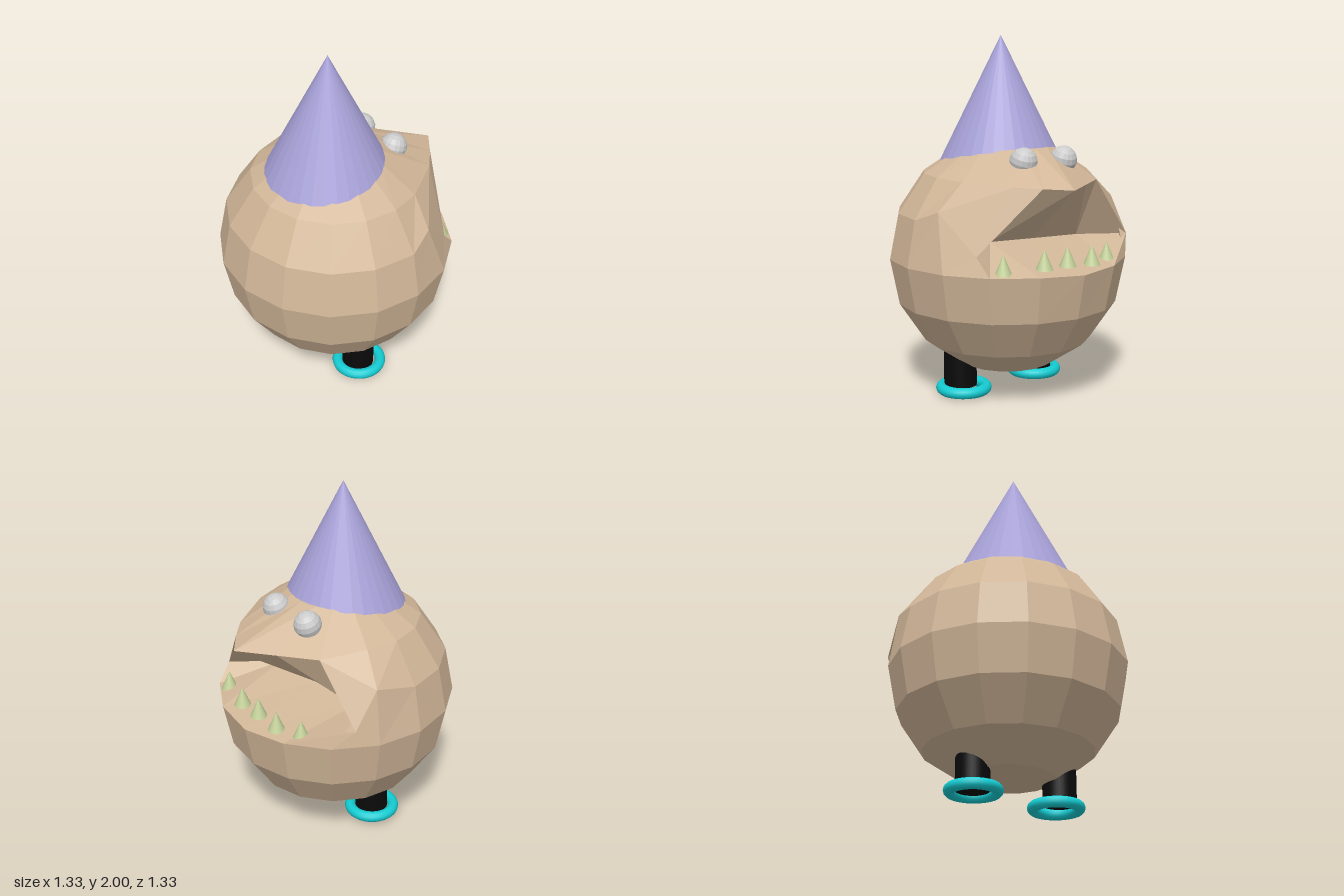
import * as THREE from 'three';

const mat = (color, flatShading = true) => new THREE.MeshStandardMaterial({ color, flatShading });

function add(parent, name, geometry, material, x, y, z) {
  const mesh = new THREE.Mesh(geometry, material);
  mesh.name = name;
  mesh.position.set(x, y, z);
  parent.add(mesh);
  return mesh;
}

// Faceted ball whose vertices on the +x side are pulled into an open mouth
function bodyGeometry() {
  const R = 0.665, CY = 0.78, SIDES = 16, ROWS = 8;
  // Keyed by step around the ball: 0 is straight ahead (+x), positive goes to +z
  const upperLip = {
    '-2': [0.40, 1.22, -0.31], '-1': [0.53, 1.22, -0.12], 0: [0.66, 1.22, 0.07],
    1: [0.55, 1.225, 0.19], 2: [0.44, 1.23, 0.29], 3: [0.18, 1.24, 0.434],
  };
  const throat = {
    '-3': [0.24, 1.09, -0.57], '-2': [0.38, 0.89, -0.56], '-1': [0.19, 0.88, -0.35],
    0: [0.18, 0.89, -0.04], 1: [0.19, 0.905, 0.26], 2: [0.38, 0.88, 0.49], 3: [0.155, 1.09, 0.57],
  };
  const lowerLip = { 0: [0.665, 0.77, 0] };
  const moved = { 2: upperLip, 3: throat, 4: lowerLip };

  const point = (row, k) => {
    const step = k > SIDES / 2 ? k - SIDES : k;
    const special = moved[row]?.[step];
    if (special) return special;
    const t = (row / ROWS) * Math.PI, a = (k / SIDES) * Math.PI * 2;
    return [R * Math.sin(t) * Math.cos(a), CY + R * Math.cos(t), R * Math.sin(t) * Math.sin(a)];
  };

  const pos = [];
  const tri = (...corners) => corners.forEach((c) => pos.push(...c));
  for (let row = 0; row < ROWS; row++) {
    for (let k = 0; k < SIDES; k++) {
      const n = (k + 1) % SIDES;
      const u0 = point(row, k), u1 = point(row, n);
      const l0 = point(row + 1, k), l1 = point(row + 1, n);
      if (row === 0) tri(u0, l1, l0);
      else if (row === ROWS - 1) tri(u0, u1, l1);
      else if (row === 2 && k === SIDES - 3) {
        // Mouth corner folds the other way on this side
        tri(u0, u1, l0);
        tri(u1, l1, l0);
      } else {
        tri(u0, u1, l1);
        tri(u0, l1, l0);
      }
    }
  }
  const g = new THREE.BufferGeometry();
  g.setAttribute('position', new THREE.Float32BufferAttribute(pos, 3));
  g.computeVertexNormals();
  return g;
}

export function createModel() {
  const model = new THREE.Group();
  model.name = 'roundMonster';

  const skin = mat(0xd2b799);
  skin.side = THREE.DoubleSide;
  add(model, 'body', bodyGeometry(), skin, 0, 0, 0);

  // Pointed hat, its rim sunk into the head
  const hatHeight = 0.78;
  add(model, 'hat', new THREE.ConeGeometry(hatHeight * 0.495, hatHeight, 32), mat(0xa8a2d8),
    -0.055, 2 - hatHeight / 2, 0);

  // Eyes
  const eyeGeometry = new THREE.SphereGeometry(0.076, 16, 8);
  const eyeMaterial = mat(0xcccccc);
  for (const [name, x, y, z] of [['rightEye', 0.325, 1.335, -0.135], ['leftEye', 0.313, 1.34, 0.13]]) {
    add(model, name, eyeGeometry, eyeMaterial, x, y, z).rotation.z = -0.35;
  }

  // Teeth along the lower lip
  const teeth = new THREE.Group();
  teeth.name = 'teeth';
  model.add(teeth);
  const toothGeometry = new THREE.ConeGeometry(0.047, 0.11, 24);
  const toothMaterial = mat(0xc2cf98, false);
  for (const [x, y, z] of [
    [0.465, 0.84, 0.38], [0.54, 0.855, 0.17], [0.55, 0.855, 0.02], [0.56, 0.845, -0.14], [0.515, 0.84, -0.287],
  ]) add(teeth, 'tooth', toothGeometry, toothMaterial, x, y, z);

  // Legs with ring feet
  const legGeometry = new THREE.CylinderGeometry(0.092, 0.092, 0.32, 32);
  const ringGeometry = new THREE.TorusGeometry(0.126, 0.031, 12, 48).rotateX(Math.PI / 2);
  const legMaterial = mat(0x0a0a0a, false), ringMaterial = mat(0x14ccd2, false);
  for (const [side, legX, legZ, ringX, ringY, ringZ] of [
    ['left', -0.072, 0.275, -0.053, 0.036, 0.265],
    ['right', -0.055, -0.25, -0.06, 0.05, -0.247],
  ]) {
    add(model, side + 'Leg', legGeometry, legMaterial, legX, 0.21, legZ);
    add(model, side + 'FootRing', ringGeometry, ringMaterial, ringX, ringY, ringZ);
  }
  return model;
}
